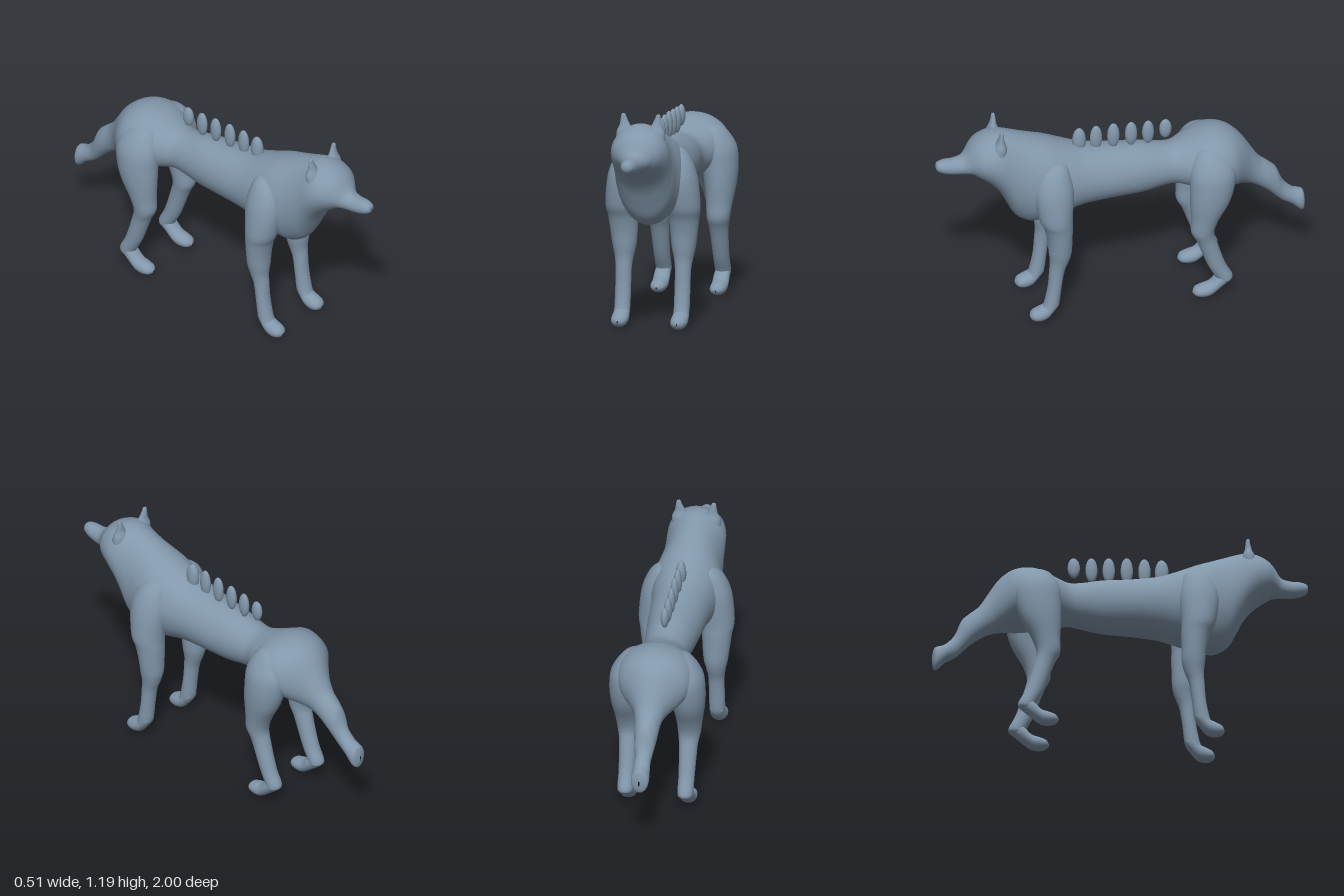
import * as THREE from 'three';

const coat = new THREE.MeshStandardMaterial({ color: 0x8297ab });
coat.name = 'slate blue coat';

// Smooth interpolation between neighbouring sections
function refine(rows, steps) {
  const out = [];
  const at = (i) => rows[Math.min(Math.max(i, 0), rows.length - 1)];
  for (let i = 0; i < rows.length - 1; i++) {
    const [p, a, b, n] = [at(i - 1), at(i), at(i + 1), at(i + 2)];
    for (let s = 0; s < steps; s++) {
      const t = s / steps;
      out.push(a.map((v, k) => {
        const cubic = 3 * (v - b[k]) + n[k] - p[k];
        const square = 2 * p[k] - 5 * v + 4 * b[k] - n[k];
        return v + 0.5 * t * (b[k] - p[k] + t * (square + t * cubic));
      }));
    }
  }
  out.push(at(rows.length - 1));
  return out;
}

// Skin over elliptical rings [x, y, z, rx, rv]; v is the second ring direction
function loft(sections, v, sides) {
  const rings = refine(sections, 4);
  const pos = [], index = [];
  rings.forEach(([x, y, z, rx, rv], i) => {
    for (let j = 0; j < sides; j++) {
      const t = (j / sides) * Math.PI * 2;
      const c = Math.max(rx, 0.001) * Math.cos(t);
      const s = Math.max(rv, 0.001) * Math.sin(t);
      pos.push(x + c, y + v.y * s, z + v.z * s);
      if (i === rings.length - 1) continue;
      const k = (j + 1) % sides;
      const a = i * sides + j, b = i * sides + k;
      index.push(a, a + sides, b, b, a + sides, b + sides);
    }
  });
  const g = new THREE.BufferGeometry();
  g.setAttribute('position', new THREE.Float32BufferAttribute(pos, 3));
  g.setIndex(index);
  g.computeVertexNormals();
  return g;
}

// Upright rings from front to back: [z, top, bottom, halfWidth]
const alongZ = (rows, x, sides) => loft(
  rows.map(([z, t, b, w]) => [x, (t + b) / 2, z, w, (t - b) / 2]), { y: 1, z: 0 }, sides);

// Level rings from top to bottom: [y, z, halfDepth, x, halfWidth]
const downY = (rows, side, sides) => loft(
  rows.map(([y, z, rz, x, rx]) => [x * side, y, z, rx, rz]), { y: 0, z: -1 }, sides);

// Snout, head, neck and chest
const foreBody = [
  [1, 0.97, 0.96, 0.003], [0.99, 0.99, 0.938, 0.028], [0.95, 1, 0.918, 0.042],
  [0.9, 1, 0.908, 0.048], [0.85, 1.015, 0.905, 0.06], [0.81, 1.068, 0.903, 0.095],
  [0.77, 1.103, 0.88, 0.13], [0.71, 1.13, 0.83, 0.152], [0.66, 1.135, 0.765, 0.156],
  [0.62, 1.128, 0.685, 0.156], [0.58, 1.115, 0.61, 0.16], [0.53, 1.097, 0.57, 0.165],
  [0.48, 1.078, 0.558, 0.175], [0.4, 1.048, 0.575, 0.185], [0.3, 1.005, 0.6, 0.172],
];
// Barrel, waist, haunches and tail
const hindBody = [
  [0.2, 0.967, 0.625, 0.156], [0.05, 0.94, 0.635, 0.145], [-0.1, 0.925, 0.638, 0.13],
  [-0.2, 0.905, 0.655, 0.118], [-0.28, 0.897, 0.665, 0.118], [-0.36, 0.92, 0.65, 0.165],
  [-0.44, 0.95, 0.637, 0.205], [-0.52, 0.957, 0.625, 0.205], [-0.59, 0.938, 0.615, 0.18],
  [-0.65, 0.89, 0.6, 0.125], [-0.7, 0.815, 0.58, 0.085], [-0.75, 0.735, 0.55, 0.068],
  [-0.8, 0.69, 0.51, 0.062], [-0.845, 0.645, 0.462, 0.052], [-0.88, 0.56, 0.43, 0.042],
  [-0.93, 0.503, 0.4, 0.045], [-0.97, 0.487, 0.36, 0.048], [-0.99, 0.475, 0.358, 0.038],
  [-1, 0.43, 0.4, 0.004],
];

const frontLeg = [
  [0.97, 0.38, 0.005, 0.105, 0.005], [0.95, 0.38, 0.055, 0.11, 0.05],
  [0.9, 0.39, 0.085, 0.13, 0.073], [0.8, 0.395, 0.105, 0.15, 0.09],
  [0.65, 0.39, 0.09, 0.165, 0.09], [0.58, 0.375, 0.076, 0.165, 0.08],
  [0.5, 0.367, 0.066, 0.162, 0.073], [0.42, 0.365, 0.061, 0.16, 0.064],
  [0.36, 0.37, 0.05, 0.16, 0.051], [0.3, 0.383, 0.041, 0.16, 0.043],
  [0.2, 0.395, 0.037, 0.16, 0.042], [0.1, 0.412, 0.041, 0.16, 0.042],
  [0.06, 0.435, 0.036, 0.16, 0.038], [0.04, 0.44, 0.005, 0.16, 0.005],
];
const hindLeg = [
  [0.92, -0.46, 0.005, 0.11, 0.005], [0.89, -0.46, 0.075, 0.12, 0.06],
  [0.8, -0.465, 0.12, 0.147, 0.095], [0.7, -0.46, 0.12, 0.16, 0.095],
  [0.6, -0.445, 0.105, 0.165, 0.085], [0.5, -0.42, 0.075, 0.164, 0.07],
  [0.42, -0.407, 0.062, 0.162, 0.061], [0.35, -0.43, 0.052, 0.16, 0.05],
  [0.2, -0.48, 0.048, 0.16, 0.043], [0.12, -0.52, 0.047, 0.16, 0.042],
  [0.09, -0.522, 0.035, 0.16, 0.036], [0.07, -0.52, 0.005, 0.16, 0.005],
];
const frontPaw = [
  [0.53, 0.04, 0.03, 0.004], [0.515, 0.063, 0.01, 0.034], [0.48, 0.08, 0, 0.045],
  [0.44, 0.1, 0.01, 0.044], [0.41, 0.13, 0.04, 0.04], [0.38, 0.135, 0.08, 0.03],
  [0.37, 0.112, 0.108, 0.004],
];
const hindPaw = [
  [-0.352, 0.04, 0.03, 0.004], [-0.37, 0.063, 0.012, 0.034], [-0.41, 0.077, 0.003, 0.044],
  [-0.45, 0.09, 0.01, 0.044], [-0.5, 0.14, 0.045, 0.042], [-0.55, 0.145, 0.085, 0.032],
  [-0.567, 0.118, 0.11, 0.004],
];
const ear = [
  [1.19, 0.665, 0.002, 0.094, 0.003], [1.183, 0.665, 0.009, 0.094, 0.011],
  [1.16, 0.665, 0.013, 0.091, 0.018], [1.125, 0.668, 0.02, 0.085, 0.03],
  [1.09, 0.67, 0.035, 0.08, 0.05], [1.04, 0.675, 0.045, 0.075, 0.055],
];

export function createModel() {
  const model = new THREE.Group();
  model.name = 'wolf';
  const add = (name, geometry) => {
    const mesh = new THREE.Mesh(geometry, coat);
    mesh.name = name;
    model.add(mesh);
    return mesh;
  };

  add('bodyHeadAndTail', alongZ([...foreBody, ...hindBody], 0, 48));

  // Paired limbs and ears
  for (const [side, label] of [[1, 'left'], [-1, 'right']]) {
    add(label + 'FrontLeg', downY(frontLeg, side, 28));
    add(label + 'FrontPaw', alongZ(frontPaw, 0.16 * side, 24));
    add(label + 'HindLeg', downY(hindLeg, side, 28));
    add(label + 'HindPaw', alongZ(hindPaw, 0.16 * side, 24));
    add(label + 'Ear', downY(ear, side, 20));
  }

  // Row of egg-shaped back spines: [z, y, halfHeight, halfDepth]
  const egg = new THREE.SphereGeometry(1, 24, 16);
  [
    [0.222, 1.0, 0.076, 0.037], [0.13, 1.0, 0.076, 0.033], [0.036, 1.0, 0.075, 0.033],
    [-0.06, 0.995, 0.072, 0.033], [-0.152, 0.99, 0.07, 0.032], [-0.246, 0.996, 0.057, 0.033],
  ].forEach(([z, y, h, d], i) => {
    const spine = add('backSpine' + (i + 1), egg);
    spine.position.set(0, y, z);
    spine.scale.set(i ? 0.022 : 0.028, h, d);
  });

  return model;
}
